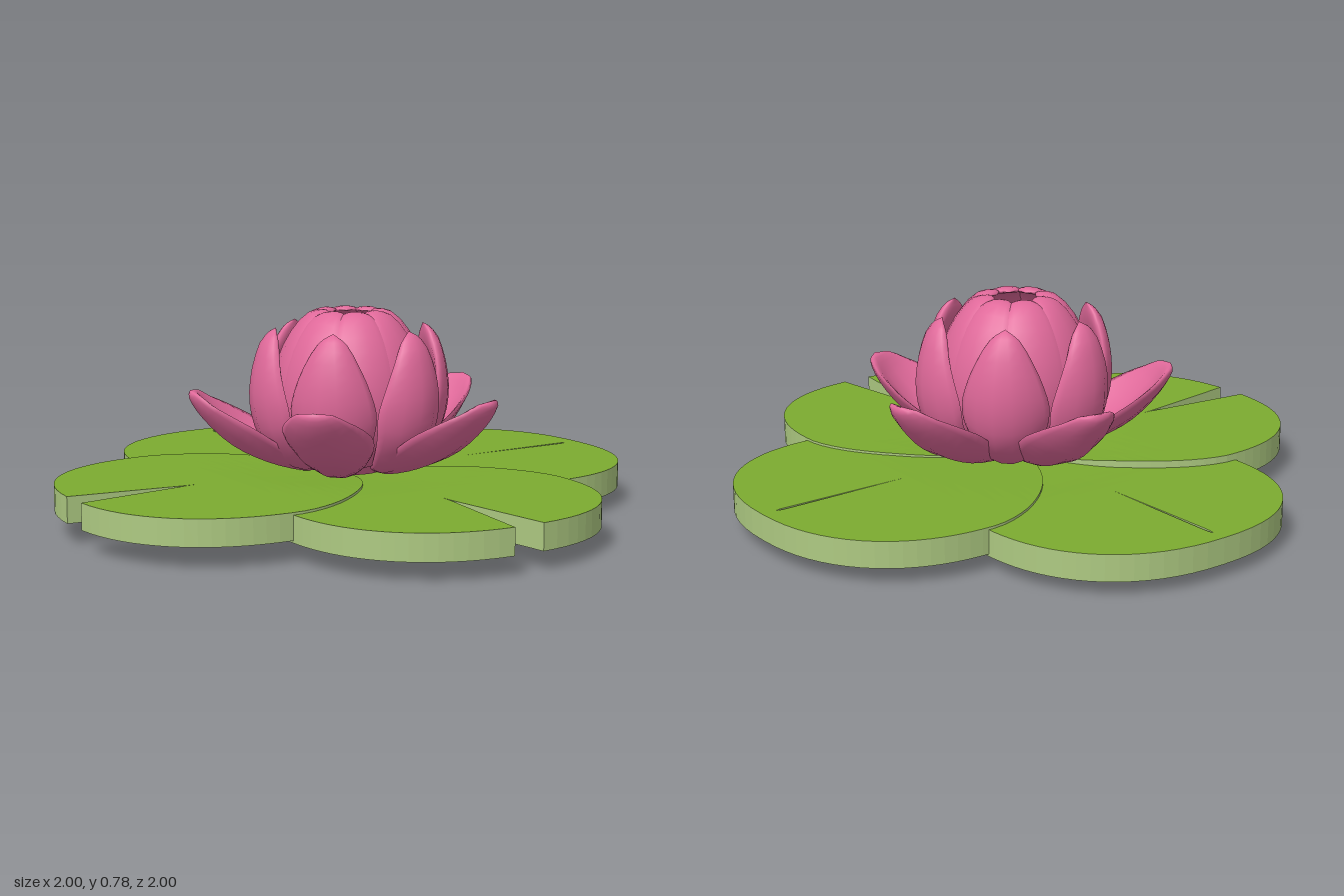
import * as THREE from 'three';

const leafGreen = new THREE.MeshStandardMaterial({ name: 'leafGreen', color: 0x7cab30 });
const paleGreen = new THREE.MeshStandardMaterial({ name: 'paleGreen', color: 0xaeca82 });
const petalPink = new THREE.MeshStandardMaterial({ name: 'petalPink', color: 0xe0699a });
const stamenYellow = new THREE.MeshStandardMaterial({ name: 'stamenYellow', color: 0xe8b024 });

// Lily pad pointing along +x from the origin, built as two mirrored halves.
// A notched pad is split at its outer rim; the others have a narrow slit.
function padGeometry(notched, lift) {
  const cols = 36, rows = 4, mid = 0.56, reach = 0.57;
  const top = [], rest = [];
  const end = notched ? Math.PI - 0.068 : Math.PI;

  const outer = (u) => {
    const d = Math.abs(u - mid) / (u < mid ? mid : reach);
    const p = u < mid ? 1.65 : 2.3;
    const s = Math.pow(Math.max(0, 1 - Math.pow(d, p)), 1 / p);
    return 0.585 * s;
  };
  const inner = (u) => {
    if (notched) return Math.max(0, u - 0.67) * 0.132;
    return Math.max(0, Math.min((u - 0.55) * 0.012, (1.07 - u) * 0.3));
  };
  const point = (u, v, upper) => {
    const r = Math.hypot(u, v);
    const rise = lift * Math.min(1, r / 0.4);
    const y = upper ? 0.147 + 0.015 * Math.min(1, r / 0.5) : Math.min(0.064, 0.09 * r);
    return [u, y + rise, v];
  };

  for (const side of [1, -1]) {
    const quad = (list, a, b, c, d) => {
      const order = side > 0 ? [a, b, c, a, c, d] : [a, c, b, a, d, c];
      for (const p of order) list.push(p[0], p[1], p[2] * side);
    };
    for (let i = 0; i < cols; i++) {
      const [u0, u1] = [i, i + 1].map((n) => {
        const c = -Math.cos((end * n) / cols);
        return mid + c * (c < 0 ? mid : reach);
      });
      const in0 = Math.min(inner(u0), outer(u0)), in1 = Math.min(inner(u1), outer(u1));
      const out0 = outer(u0), out1 = outer(u1);
      for (let k = 0; k < rows; k++) {
        const mix = (a, b, n) => a + ((b - a) * n) / rows;
        const corners = [
          [u0, mix(in0, out0, k)], [u0, mix(in0, out0, k + 1)],
          [u1, mix(in1, out1, k + 1)], [u1, mix(in1, out1, k)],
        ];
        quad(top, ...corners.map(([u, v]) => point(u, v, true)));
        quad(rest, ...corners.reverse().map(([u, v]) => point(u, v, false)));
      }
      // rim wall, then the wall of the notch or slit
      quad(rest, point(u0, out0, false), point(u1, out1, false), point(u1, out1, true), point(u0, out0, true));
      if (in0 > 0 || in1 > 0) {
        quad(rest, point(u1, in1, false), point(u0, in0, false), point(u0, in0, true), point(u1, in1, true));
      }
    }
  }
  const geo = new THREE.BufferGeometry();
  geo.setAttribute('position', new THREE.Float32BufferAttribute(top.concat(rest), 3));
  geo.addGroup(0, top.length / 3, 0);
  geo.addGroup(top.length / 3, rest.length / 3, 1);
  geo.computeVertexNormals();
  return geo;
}

// Cupped petal facing +z, lofted from lens-shaped loops.
// Each profile point is [radius, height, half width].
function petalGeometry(profile, cup, thickness) {
  const curve = new THREE.CatmullRomCurve3(profile.map((p) => new THREE.Vector3(...p)));
  const steps = 18, sides = 14;
  const pos = [], index = [];
  for (let i = 0; i <= steps; i++) {
    const t = i / steps;
    const p = curve.getPoint(t), q = curve.getTangent(t);
    const len = Math.hypot(q.x, q.y) || 1;
    const w = Math.max(0, p.z);
    const th = thickness * Math.min(1, w / 0.08);
    for (let j = 0; j < sides; j++) {
      const f = (j / sides) * Math.PI * 2;
      const a = Math.cos(f);
      const n = cup * w * w * a * a + th * Math.sin(f);
      pos.push(w * a, p.y + (n * q.x) / len, p.x - (n * q.y) / len);
      if (i < steps) {
        const k = (j + 1) % sides, b = i * sides, c = b + sides;
        index.push(b + j, b + k, c + k, b + j, c + k, c + j);
      }
    }
  }
  const geo = new THREE.BufferGeometry();
  geo.setAttribute('position', new THREE.Float32BufferAttribute(pos, 3));
  geo.setIndex(index);
  geo.computeVertexNormals();
  return geo;
}

function petalRing(name, geo, count, start) {
  const ring = new THREE.Group();
  ring.name = name + 's';
  for (let i = 0; i < count; i++) {
    const petal = new THREE.Mesh(geo, petalPink);
    petal.name = name;
    petal.rotation.y = start + (i / count) * Math.PI * 2;
    ring.add(petal);
  }
  return ring;
}

export function createModel() {
  const model = new THREE.Group();
  model.name = 'waterLily';

  // four overlapping pads, each a little above the next
  const q = Math.PI / 4;
  const pads = [
    ['frontRightPad', -3 * q, true, 0.014],
    ['frontLeftPad', -q, true, 0.005],
    ['backLeftPad', q, false, -0.004],
    ['backRightPad', 3 * q, false, -0.013],
  ];
  for (const [name, angle, notched, lift] of pads) {
    const pad = new THREE.Mesh(padGeometry(notched, lift), [leafGreen, paleGreen]);
    pad.name = name;
    pad.rotation.y = angle;
    model.add(pad);
  }

  // flower: open outer ring, upright middle ring, closed inner bud
  const flower = new THREE.Group();
  flower.name = 'flower';
  flower.position.set(0.01, 0, -0.02);
  const outer = petalGeometry([
    [0.06, 0.18, 0], [0.17, 0.18, 0.09], [0.31, 0.215, 0.15], [0.44, 0.28, 0.165],
    [0.545, 0.38, 0.13], [0.595, 0.455, 0.07], [0.605, 0.475, 0],
  ], 3.5, 0.022);
  const middle = petalGeometry([
    [0.08, 0.18, 0], [0.22, 0.21, 0.1], [0.325, 0.31, 0.15], [0.36, 0.43, 0.16],
    [0.35, 0.56, 0.125], [0.31, 0.68, 0.055], [0.29, 0.715, 0],
  ], 2.8, 0.03);
  const inner = petalGeometry([
    [0.08, 0.18, 0], [0.2, 0.23, 0.1], [0.275, 0.36, 0.145], [0.28, 0.5, 0.15],
    [0.23, 0.65, 0.12], [0.15, 0.75, 0.075], [0.095, 0.765, 0.045], [0.078, 0.76, 0],
  ], 1.8, 0.018);
  flower.add(
    petalRing('outerPetal', outer, 5, 0),
    petalRing('middlePetal', middle, 6, 0),
    petalRing('innerPetal', inner, 8, Math.PI / 8),
  );

  const base = new THREE.Mesh(new THREE.CylinderGeometry(0.2, 0.12, 0.08, 20), petalPink);
  base.name = 'flowerBase';
  base.position.y = 0.2;

  // yellow heart, hollow at the top
  const heart = new THREE.Mesh(new THREE.LatheGeometry(
    [[0, 0.62], [0.08, 0.64], [0.09, 0.69], [0.075, 0.71], [0.045, 0.705], [0, 0.675]]
      .map(([x, y]) => new THREE.Vector2(x, y)), 12), stamenYellow);
  heart.name = 'flowerHeart';
  flower.add(base, heart);
  model.add(flower);
  return model;
}
